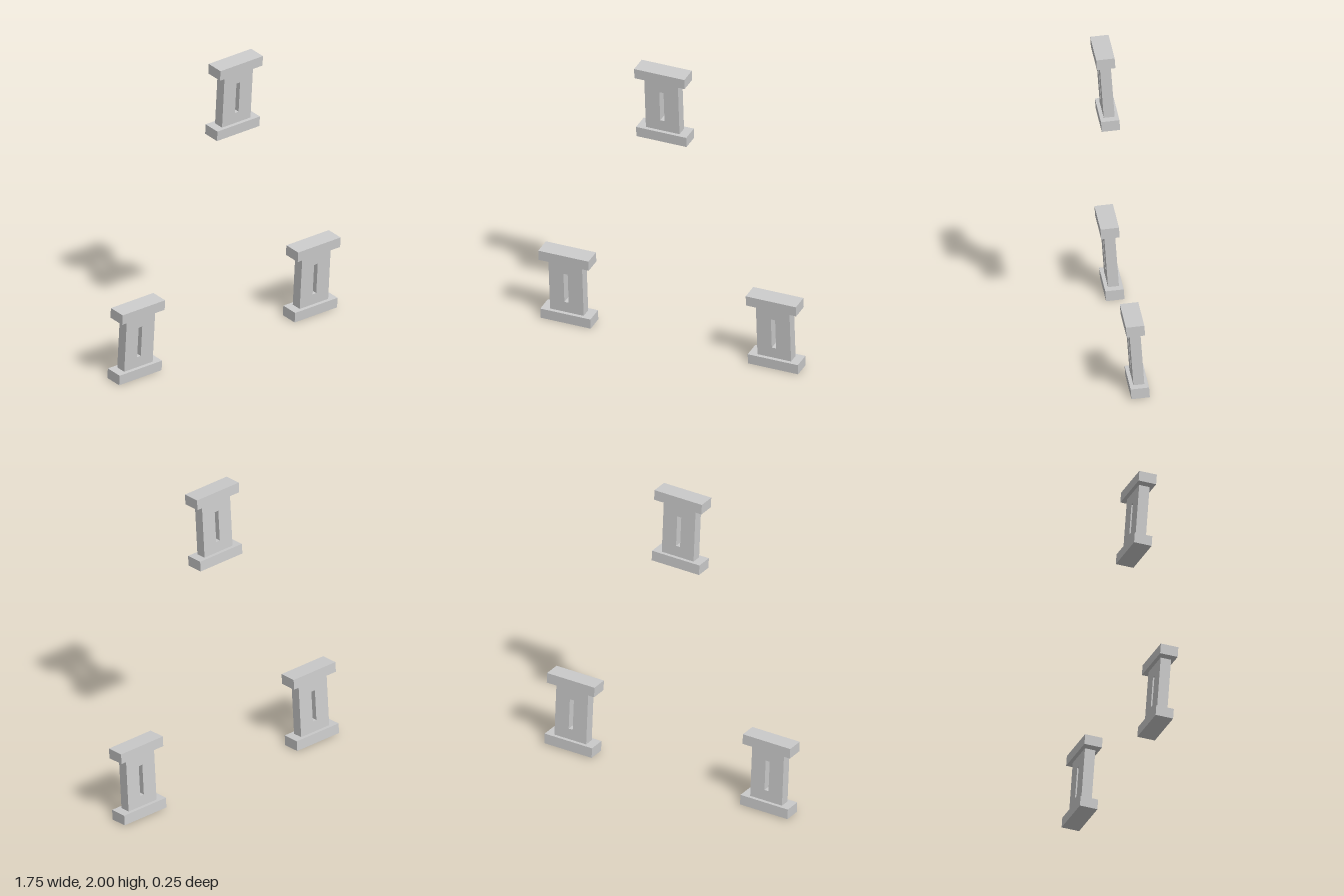
import * as THREE from 'three';

const TILT = THREE.MathUtils.degToRad(4);
const LENGTH = 0.493;               // overall length of one bracket
const BAR = { w: 0.34, h: 0.067, d: 0.115 };
const WEB = { w: 0.228, d: 0.068 };
const SLOT = { w: 0.029, h: 0.207, y: -0.004 };

// Closed rectangle outline, centred on x = 0
function rectangle(target, w, y0, y1) {
  target.moveTo(-w / 2, y0);
  target.lineTo(w / 2, y0);
  target.lineTo(w / 2, y1);
  target.lineTo(-w / 2, y1);
  target.closePath();
  return target;
}

// Upright plate with a narrow slot cut right through
function makeWebGeometry() {
  const half = LENGTH / 2 - BAR.h;
  const shape = rectangle(new THREE.Shape(), WEB.w, -half, half);
  shape.holes.push(rectangle(new THREE.Path(), SLOT.w, SLOT.y - SLOT.h / 2, SLOT.y + SLOT.h / 2));
  const geometry = new THREE.ExtrudeGeometry(shape, { depth: WEB.d, bevelEnabled: false });
  return geometry.translate(0, 0, -WEB.d / 2);
}

export function createModel() {
  const model = new THREE.Group();
  model.name = 'slottedBrackets';
  const material = new THREE.MeshStandardMaterial({ color: 0xcccccc, flatShading: true });
  const webGeometry = makeWebGeometry();
  const barGeometry = new THREE.BoxGeometry(BAR.w, BAR.h, BAR.d);

  // Slotted plate between two crossbars, leaning forward
  function addBracket(name, x, y, z) {
    const bracket = new THREE.Group();
    bracket.name = name;
    const web = new THREE.Mesh(webGeometry, material);
    web.name = 'slottedPlate';
    bracket.add(web);
    for (const [barName, side] of [['topBar', 1], ['bottomBar', -1]]) {
      const bar = new THREE.Mesh(barGeometry, material);
      bar.name = barName;
      bar.position.y = side * (LENGTH - BAR.h) / 2;
      bracket.add(bar);
    }
    bracket.position.set(x, y, z);
    bracket.rotation.x = TILT;
    model.add(bracket);
  }

  // Three brackets on one leaning plane
  addBracket('upperBracket', -0.006, 1.75, 0.0525);
  addBracket('lowerLeftBracket', 0.703, 0.25, -0.0525);
  addBracket('lowerRightBracket', -0.703, 0.25, -0.0525);

  return model;
}
